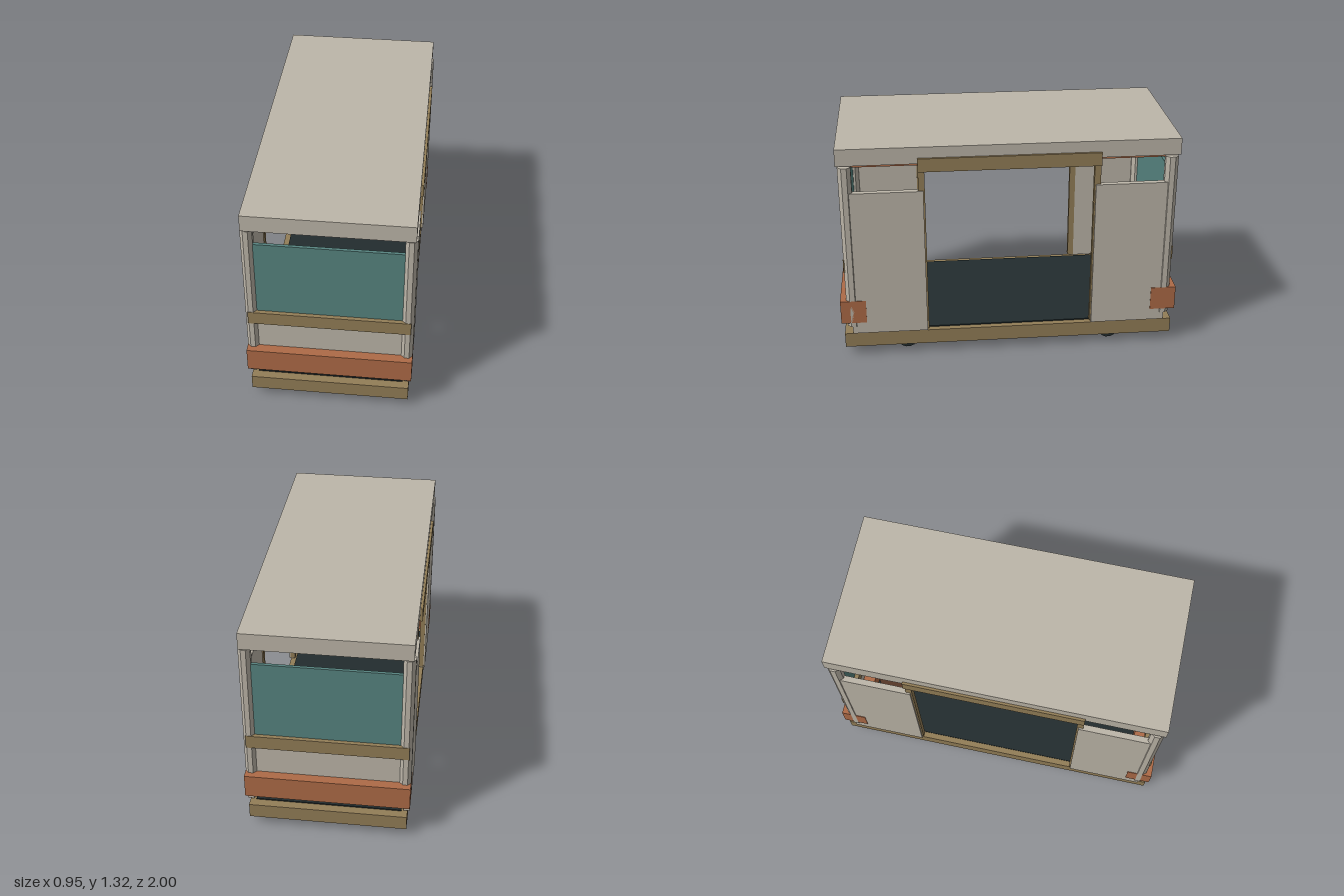
import * as THREE from 'three';

const paint = (name, color) => {
  const m = new THREE.MeshStandardMaterial({ color });
  m.name = name;
  return m;
};

export function createModel() {
  const shell = paint('warm grey', 0xbdb6a9);
  const frame = paint('khaki', 0x937e57);
  const trim = paint('terracotta', 0xae6b47);
  const glass = paint('teal', 0x578480);
  const rubber = paint('charcoal', 0x222c2e);
  const cabinet = paint('dark brown', 0x694330);

  const cabin = new THREE.Group();
  cabin.name = 'cabin';

  // Box given by its extents along each axis
  const box = (name, mat, [x0, x1], [y0, y1], [z0, z1], parent = cabin) => {
    const mesh = new THREE.Mesh(new THREE.BoxGeometry(x1 - x0, y1 - y0, z1 - z0), mat);
    mesh.position.set((x0 + x1) / 2, (y0 + y1) / 2, (z0 + z1) / 2);
    mesh.name = name;
    parent.add(mesh);
    return mesh;
  };
  const span = (a, b, s) => (s > 0 ? [a, b] : [-b, -a]);

  // Floor and roof
  box('chassis', frame, [-0.455, 0.455], [0.06, 0.15], [-0.985, 0.985]);
  box('floorMat', rubber, [-0.42, 0.42], [0.15, 0.157], [-0.935, 0.935]);
  box('ceiling', trim, [-0.43, 0.43], [1.205, 1.226], [-0.935, 0.935]);
  box('roof', shell, [-0.462, 0.462], [1.226, 1.325], [-0.975, 0.975]);

  // End walls, the same at front and back
  for (const s of [1, -1]) {
    const wall = new THREE.Group();
    wall.name = s > 0 ? 'frontWall' : 'backWall';
    cabin.add(wall);
    box('bumper', trim, [-0.47, 0.47], [0.23, 0.375], span(0.85, 1, s), wall);
    box('lowerPanel', shell, [-0.41, 0.41], [0.25, 0.547], span(0.922, 0.945, s), wall);
    box('waistBeam', frame, [-0.455, 0.455], [0.56, 0.642], span(0.9, 0.968, s), wall);
    box('windscreen', glass, [-0.41, 0.41], [0.642, 1.115], span(0.927, 0.945, s), wall);
  }

  // Corner posts, side panels, door jambs and wheels, one per corner
  const postGeo = new THREE.CylinderGeometry(1, 1, 1.01, 8)
    .rotateY(Math.PI / 8)
    .scale(0.033 / Math.cos(Math.PI / 8), 1, 0.037 / Math.cos(Math.PI / 8))
    .toNonIndexed();
  postGeo.computeVertexNormals();
  const wheelGeo = new THREE.CylinderGeometry(0.06, 0.06, 0.072, 14)
    .rotateZ(Math.PI / 2).toNonIndexed();
  wheelGeo.computeVertexNormals();

  for (const sx of [1, -1]) {
    for (const sz of [1, -1]) {
      const post = new THREE.Mesh(postGeo, shell);
      post.name = 'cornerPost';
      post.position.set(sx * 0.437, 0.71, sz * 0.928);
      cabin.add(post);

      const wheel = new THREE.Mesh(wheelGeo, rubber);
      wheel.name = 'wheel';
      wheel.position.set(sx * 0.353, 0.06, sz * 0.615);
      cabin.add(wheel);

      box('sidePanel', shell, span(0.432, 0.467, sx), [0.157, 1.06], span(0.492, 0.935, sz));
      box('doorJamb', frame, span(0.425, 0.457, sx), [0.165, 1.19], span(0.483, 0.52, sz));
    }
    // Door header over each open side
    box('doorRail', frame, span(0.44, 0.476, sx), [1.18, 1.26], [-0.52, 0.52]);
  }

  // Control console at the back end
  const desk = new THREE.Group();
  desk.name = 'console';
  cabin.add(desk);
  box('consoleBody', cabinet, [-0.205, 0.205], [0.175, 0.49], [-0.82, -0.643], desk);
  box('consoleTop', trim, [-0.207, 0.207], [0.49, 0.527], [-0.822, -0.641], desk);
  box('instrumentBox', shell, [-0.16, 0.157], [0.49, 0.6], [-0.895, -0.825], desk);

  return cabin;
}
